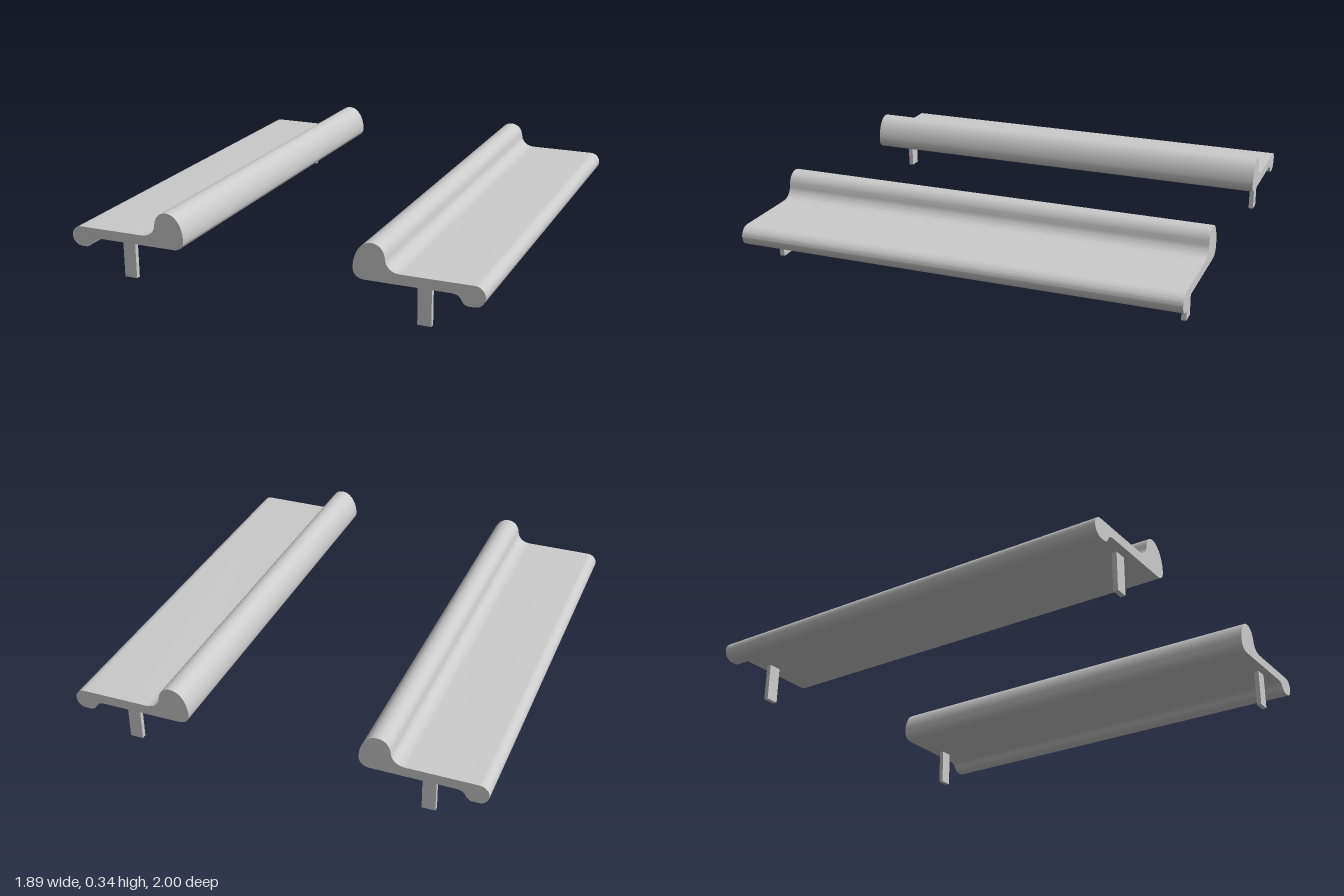
import * as THREE from 'three';
import { toCreasedNormals } from 'three/addons/utils/BufferGeometryUtils.js';

const LENGTH = 2;

// Cross-section of one rail: flat tread, rolled inner ridge, drooping outer lip
function railProfile() {
  const s = new THREE.Shape();
  s.moveTo(0.44, 0.175);
  s.lineTo(0.8, 0.175);
  // concave underside into the lip
  s.bezierCurveTo(0.825, 0.175, 0.838, 0.168, 0.845, 0.155);
  s.bezierCurveTo(0.852, 0.138, 0.865, 0.13, 0.88, 0.13);
  s.lineTo(0.9, 0.13);
  // rounded outer edge
  s.absarc(0.9, 0.175, 0.045, -Math.PI / 2, Math.PI / 2, false);
  // tread and concave fillet up to the ridge
  s.lineTo(0.595, 0.22);
  s.bezierCurveTo(0.555, 0.22, 0.532, 0.24, 0.527, 0.27);
  // ridge
  s.bezierCurveTo(0.524, 0.312, 0.5, 0.335, 0.467, 0.335);
  s.bezierCurveTo(0.42, 0.335, 0.388, 0.28, 0.388, 0.22);
  s.bezierCurveTo(0.388, 0.192, 0.408, 0.175, 0.44, 0.175);
  return s;
}

function createRail() {
  const rail = new THREE.Group();
  const material = new THREE.MeshStandardMaterial({ color: 0xcccccc });

  let geometry = new THREE.ExtrudeGeometry(railProfile(), {
    depth: LENGTH, bevelEnabled: false, curveSegments: 12,
  });
  geometry.translate(0, 0, -LENGTH / 2);
  geometry = toCreasedNormals(geometry, Math.PI / 5);
  const body = new THREE.Mesh(geometry, material);
  body.name = 'railBody';
  rail.add(body);

  // thin flat legs near each end
  for (const side of [1, -1]) {
    const leg = new THREE.Mesh(new THREE.BoxGeometry(0.06, 0.18, 0.022), material);
    leg.position.set(0.682, 0.09, side * 0.95);
    leg.name = side > 0 ? 'frontLeg' : 'backLeg';
    rail.add(leg);
  }
  return rail;
}

export function createModel() {
  const model = new THREE.Group();
  model.name = 'railPair';
  const left = createRail();
  left.name = 'leftRail';
  // the rail is symmetric front to back, so a half turn mirrors it
  const right = createRail();
  right.name = 'rightRail';
  right.rotation.y = Math.PI;
  right.children[1].name = 'backLeg';
  right.children[2].name = 'frontLeg';
  model.add(left, right);
  return model;
}
